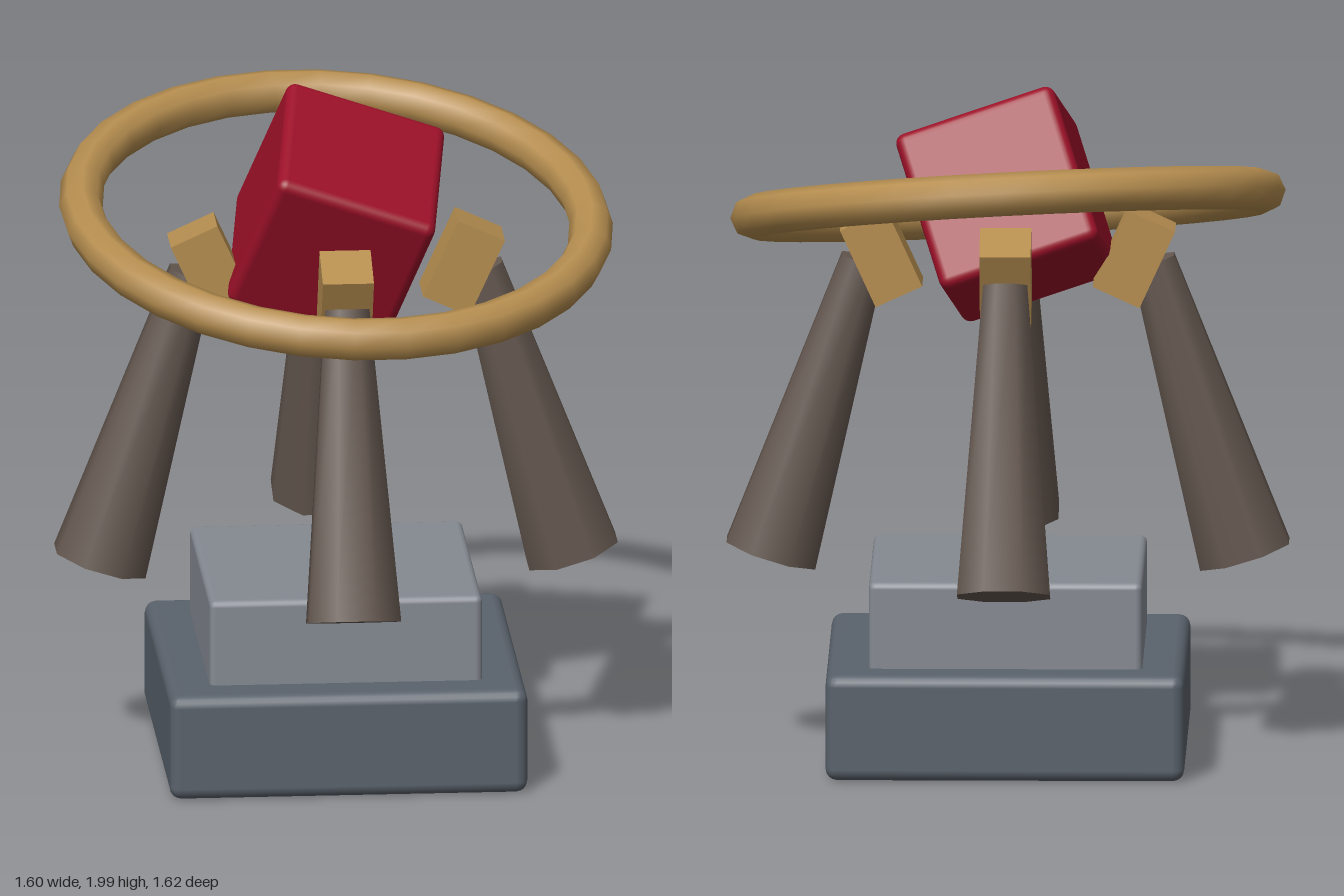
import * as THREE from 'three';
import { RoundedBoxGeometry } from 'three/addons/geometries/RoundedBoxGeometry.js';

const paint = (color) => new THREE.MeshStandardMaterial({ color });
const slate = paint(0x5a626c);
const stone = paint(0x858a92);
const bark = paint(0x64574f);
const gold = paint(0xb58d4f);
const red = paint(0x9b1028);

function add(parent, name, geometry, material, x = 0, y = 0, z = 0) {
  const mesh = new THREE.Mesh(geometry, material);
  mesh.name = name;
  mesh.position.set(x, y, z);
  parent.add(mesh);
  return mesh;
}

export function createModel() {
  const model = new THREE.Group();
  model.name = 'pedestalTrophy';

  // Stepped plinth, turned so that a corner faces the front
  const plinth = new THREE.Group();
  plinth.name = 'plinth';
  plinth.rotation.y = Math.PI / 4;
  model.add(plinth);
  add(plinth, 'lowerStep', new RoundedBoxGeometry(1.05, 0.315, 1.05, 2, 0.035), slate, 0, 0.1575, 0);
  add(plinth, 'upperStep', new RoundedBoxGeometry(0.8, 0.3, 0.8, 2, 0.02), stone, 0, 0.42, 0);

  // Four tapered claws on the diagonals, each with a tilted grip block.
  // Inside each group +x points outwards.
  const foot = new THREE.Vector3(0.693, 0.585, 0);
  const tip = new THREE.Vector3(0.424, 1.46, 0);
  const axis = tip.clone().sub(foot);
  const legShape = new THREE.CylinderGeometry(0.07, 0.147, axis.length(), 8);
  legShape.rotateY(Math.PI / 8);
  const gripShape = new THREE.BoxGeometry(0.15, 0.25, 0.15);
  for (let i = 0; i < 4; i++) {
    const claw = new THREE.Group();
    claw.name = 'claw';
    claw.rotation.y = Math.PI / 4 + (i * Math.PI) / 2;
    model.add(claw);
    const leg = add(claw, 'leg', legShape, bark);
    leg.position.copy(foot).add(tip).multiplyScalar(0.5);
    leg.quaternion.setFromUnitVectors(new THREE.Vector3(0, 1, 0), axis.clone().normalize());
    const grip = add(claw, 'grip', gripShape, gold, 0.37, 1.475, 0);
    grip.rotation.z = -0.43;
  }

  // Tilted cube held between the grips
  const cube = add(model, 'cube', new RoundedBoxGeometry(0.49, 0.49, 0.49, 3, 0.03), red, 0, 1.625, 0);
  const up = new THREE.Vector3(0.5, 0.86, 0.08).normalize();
  const side = new THREE.Vector3(0.67, -0.39, -0.71);
  side.addScaledVector(up, -side.dot(up)).normalize();
  const front = new THREE.Vector3().crossVectors(side, up);
  cube.quaternion.setFromRotationMatrix(new THREE.Matrix4().makeBasis(side, up, front));

  // Ring around the cube, leaning to one side and forwards
  const ring = add(model, 'ring', new THREE.TorusGeometry(0.75, 0.064, 8, 32).rotateX(Math.PI / 2), gold, 0, 1.625, 0);
  ring.quaternion.setFromUnitVectors(
    new THREE.Vector3(0, 1, 0),
    new THREE.Vector3(0.2, 1, 0.12).normalize()
  );

  return model;
}
